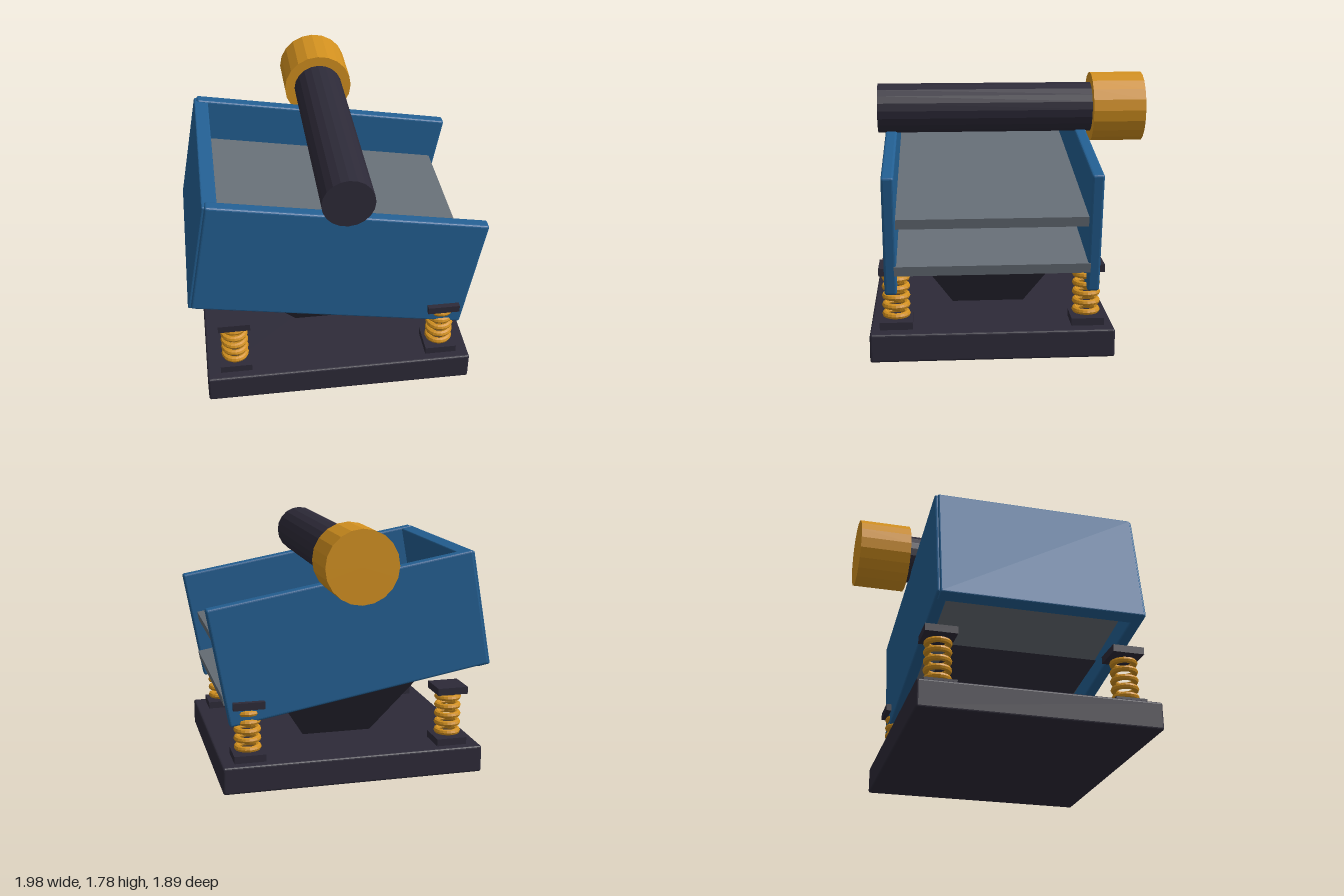
import * as THREE from 'three';
import { RoundedBoxGeometry } from 'three/addons/geometries/RoundedBoxGeometry.js';

export function createModel() {
  const mat = (name, color, flatShading = false) => {
    const m = new THREE.MeshStandardMaterial({ color, flatShading });
    m.name = name;
    return m;
  };
  const dark = mat('dark steel', 0x2d2a38, true);
  const blue = mat('blue paint', 0x235f92, true);
  const orange = mat('orange paint', 0xd2901f, true);
  const grey = mat('grey mesh', 0x666e76, true);

  const model = new THREE.Group();
  model.name = 'vibratingScreen';
  const CX = 0.005, CZ = 0.145, TILT = -Math.PI / 18;

  const add = (name, geometry, material, x, y, z, parent = model) => {
    const mesh = new THREE.Mesh(geometry, material);
    mesh.name = name;
    mesh.position.set(x, y, z);
    parent.add(mesh);
    return mesh;
  };

  // Base slab with softened edges
  add('base', new RoundedBoxGeometry(1.82, 0.19, 1.6, 2, 0.015), dark, CX, 0.095, CZ);

  // Discharge hopper: inverted square pyramid frustum
  const hopper = new THREE.CylinderGeometry(0.515 * Math.SQRT2, 0.25 * Math.SQRT2, 0.43, 4);
  hopper.rotateY(Math.PI / 4);
  add('hopper', hopper, dark, CX, 0.405, CZ);

  // Spring mounts at the four corners
  const pad = new THREE.BoxGeometry(0.215, 0.05, 0.215);
  const coil = new THREE.TorusGeometry(0.073, 0.021, 8, 20).rotateX(Math.PI / 2);
  for (const sx of [-1, 1]) {
    for (const sz of [-1, 1]) {
      const mount = new THREE.Group();
      mount.name = 'springMount';
      mount.position.set(0.008 + sx * 0.7125, 0, CZ + sz * 0.63);
      add('lowerPad', pad, dark, 0, 0.216, 0, mount);
      add('upperPad', pad, dark, 0, 0.583, 0, mount);
      for (let i = 0; i < 5; i++) add('springCoil', coil, orange, 0, 0.273 + i * 0.0622, 0, mount);
      model.add(mount);
    }
  }

  // Tilted screen box: two side plates and a feed-end plate
  const box = new THREE.Group();
  box.name = 'screenBox';
  box.position.set(CX, 0.995, CZ);
  box.rotation.z = TILT;
  model.add(box);
  const side = new RoundedBoxGeometry(1.85, 0.815, 0.08, 2, 0.015);
  for (const s of [-1, 1]) add('sidePlate', side, blue, 0, 0, s * 0.66, box);
  add('endPlate', new RoundedBoxGeometry(0.1, 0.815, 1.36, 2, 0.01), blue, -0.893, -0.01, 0, box);

  // Two parallel screening decks
  const deck = new THREE.BoxGeometry(1.78, 0.066, 1.27);
  for (const [name, y] of [['upperDeck', 1.067], ['lowerDeck', 0.757]]) {
    add(name, deck, grey, CX, y, CZ).rotation.z = TILT;
  }

  // Exciter shaft and drive motor
  const drum = (r, length) => new THREE.CylinderGeometry(r, r, length, 20).rotateX(Math.PI / 2);
  add('exciterShaft', drum(0.172, 1.6), dark, 0.05, 1.542, 0.095);
  add('driveMotor', drum(0.242, 0.36), orange, 0.05, 1.542, -0.767);

  return model;
}
